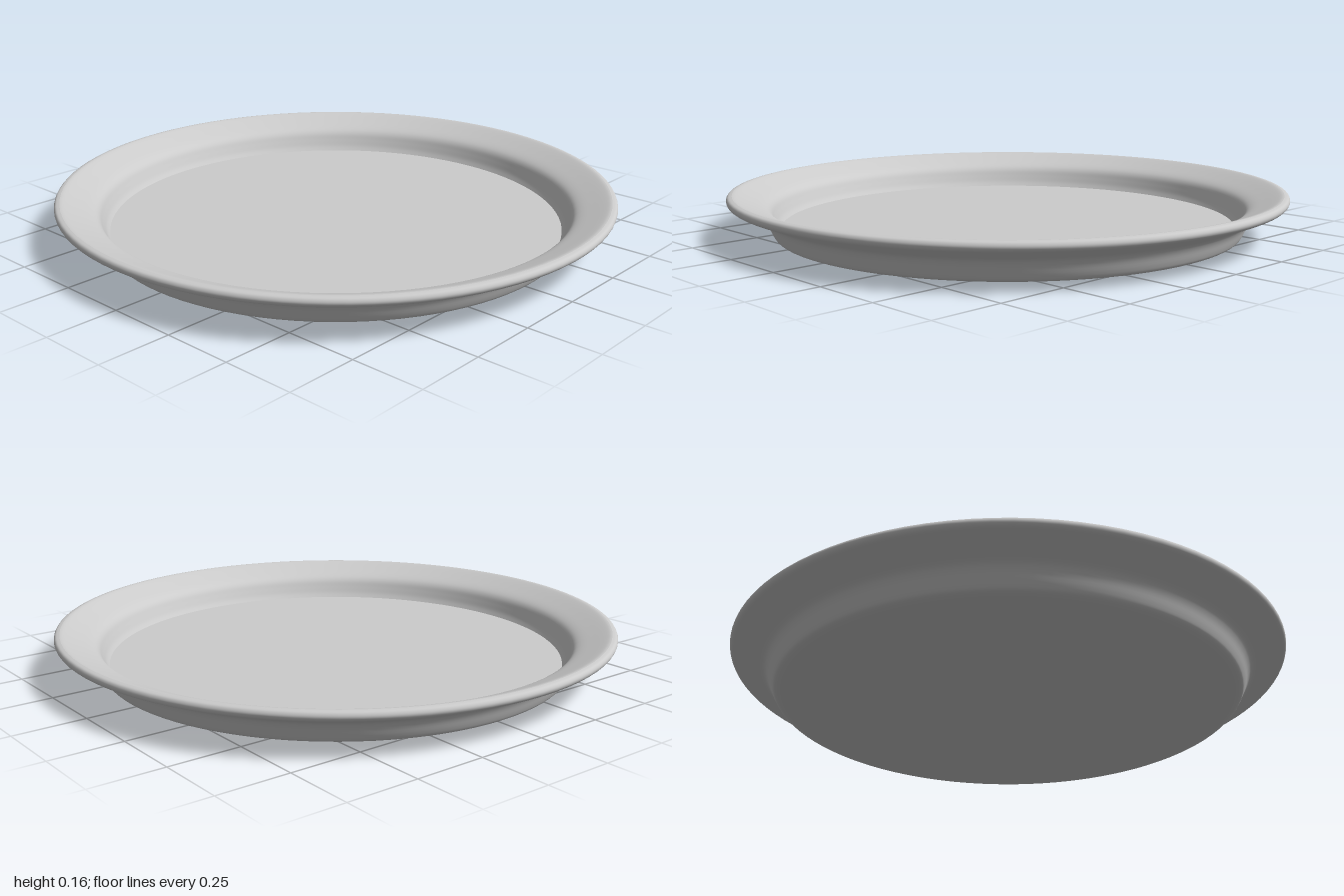
import * as THREE from 'three';

const material = new THREE.MeshStandardMaterial({ color: 0xcccccc });
const SEGMENTS = 96;

// Smooth curve through [radius, height] pairs
function smooth(pairs, divisions) {
  return new THREE.SplineCurve(pairs.map(([r, y]) => new THREE.Vector2(r, y))).getPoints(divisions);
}

function lathe(name, points) {
  const mesh = new THREE.Mesh(new THREE.LatheGeometry(points, SEGMENTS), material);
  mesh.name = name;
  return mesh;
}

export function createModel() {
  const plate = new THREE.Group();
  plate.name = 'plate';

  // Flat underside the plate stands on
  plate.add(lathe('underside', [new THREE.Vector2(0, 0), new THREE.Vector2(0.815, 0)]));

  // Outer wall, flared underside of the rim and rounded lip
  plate.add(lathe('outerWall', smooth([
    [0.815, 0], [0.836, 0.008], [0.848, 0.027], [0.863, 0.06], [0.883, 0.083],
    [0.93, 0.103], [0.975, 0.121], [0.994, 0.131], [1, 0.144], [0.994, 0.156], [0.98, 0.16],
  ], 40)));

  // Upper face of the rim, running down the inner wall
  plate.add(lathe('innerRim', smooth([
    [0.98, 0.16], [0.965, 0.157], [0.92, 0.139], [0.872, 0.118],
    [0.85, 0.1], [0.837, 0.074], [0.826, 0.05], [0.815, 0.033],
  ], 32)));

  // Flat eating surface, meeting the wall at a crease
  plate.add(lathe('floor', [new THREE.Vector2(0.815, 0.033), new THREE.Vector2(0, 0.033)]));

  return plate;
}
